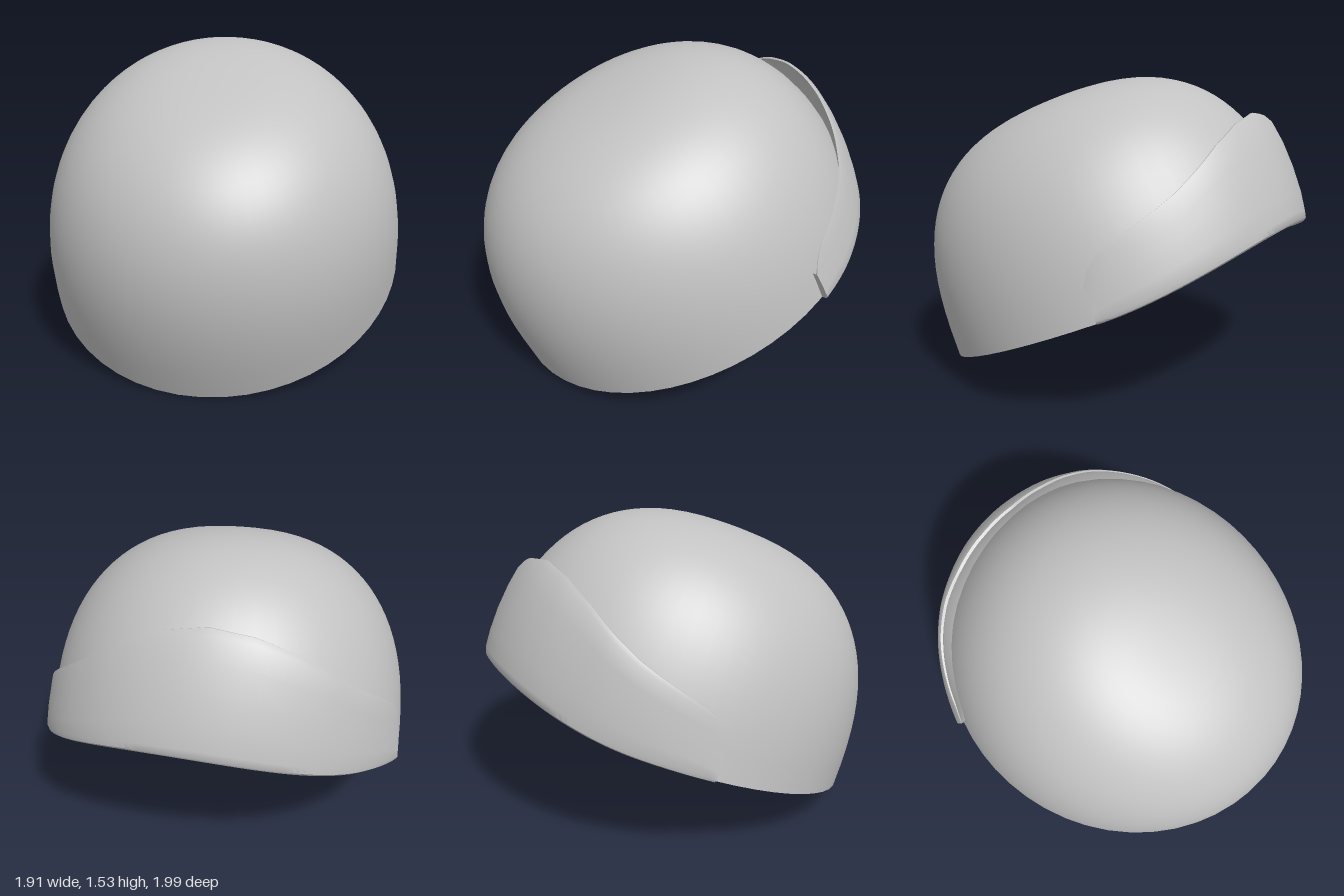
import * as THREE from 'three';
import { toCreasedNormals } from 'three/addons/utils/BufferGeometryUtils.js';

// Shell size in its own tilted frame: half width, height, half length
const A = 0.935, H = 1.09, C = 0.985;
const rad = THREE.MathUtils.degToRad;
const power = (phi) => 2.45 + 0.25 * Math.cos(phi) ** 2;
// The plan is a slightly skewed oval
const skew = (phi) => 1 + 0.03 * Math.sin(2 * phi);

// The rim arches up a little at the back, on the +x side
function rimLift(phi) {
  const d = Math.atan2(Math.sin(phi - rad(30)), Math.cos(phi - rad(30)));
  return Math.abs(d) < rad(60) ? 0.08 * Math.cos(d * 1.5) ** 2 : 0;
}

// Surface through a grid of points: f(column, row) gives [x, y, z]
function gridGeometry(cols, rows, f) {
  const pos = [], index = [];
  for (let j = 0; j <= rows; j++) {
    for (let i = 0; i <= cols; i++) pos.push(...f(i, j));
  }
  for (let j = 0; j < rows; j++) {
    for (let i = 0; i < cols; i++) {
      const a = j * (cols + 1) + i, b = a + 1, d = a + cols + 1, c = d + 1;
      index.push(a, d, c, a, c, b);
    }
  }
  const g = new THREE.BufferGeometry();
  g.setAttribute('position', new THREE.Float32BufferAttribute(pos, 3));
  g.setIndex(index);
  return toCreasedNormals(g, 0.7);
}

// Point on the dome: phi runs from the back towards +x, v from rim (0) to crown (1)
function domePoint(phi, v, inset) {
  const e = 2 / power(phi), s = skew(phi);
  const start = Math.asin((rimLift(phi) / H) ** (1 / e));
  const psi = start + (Math.PI / 2 - start) * v;
  const rho = Math.max(0, Math.cos(psi)) ** e;
  return [
    (A * s - inset) * rho * Math.sin(phi),
    (H - inset) * Math.sin(psi) ** e,
    -(C * s - inset) * rho * Math.cos(phi),
  ];
}

// Point at height h on the dome wall, pushed outwards by offset
function wallPoint(phi, h, offset) {
  const p = power(phi);
  const rho = skew(phi) * (1 - (Math.max(h, 0) / H) ** p) ** (1 / p);
  return [
    (A * rho + offset) * Math.sin(phi),
    h,
    -(C * rho + offset) * Math.cos(phi),
  ];
}

// Linear lookup in a list of [x, value]
function lookup(table, x) {
  for (let k = 1; k < table.length; k++) {
    const [x0, v0] = table[k - 1], [x1, v1] = table[k];
    if (x <= x1) return v0 + ((v1 - v0) * (x - x0)) / (x1 - x0);
  }
  return table[table.length - 1][1];
}

export function createModel() {
  const model = new THREE.Group();
  model.name = 'helmet';
  const grey = new THREE.MeshStandardMaterial({ color: 0xc2c2c2 });
  grey.name = 'light grey';

  const add = (name, geometry) => {
    const mesh = new THREE.Mesh(geometry, grey);
    mesh.name = name;
    model.add(mesh);
  };

  // Thin open dome: outside, lining and the rim joining them
  const SEG = 56, ROWS = 24, WALL = 0.012;
  const turn = (i) => (i / SEG) * Math.PI * 2;
  add('domeOutside', gridGeometry(SEG, ROWS, (i, j) => domePoint(turn(i), j / ROWS, 0)));
  add('domeLining', gridGeometry(SEG, ROWS, (i, j) => domePoint(turn(i), 1 - j / ROWS, WALL)));
  add('domeRim', gridGeometry(SEG, 1, (i, j) => domePoint(turn(i), 0, j ? 0 : WALL)));

  // Band wrapped round the back, turned towards +x, highest in its middle
  const MIDDLE = 19, HALF = 70;
  // Tables run over the fraction of the half-turn from the middle
  const topEdge = [[0, 0.64], [0.18, 0.61], [0.34, 0.545], [0.47, 0.47], [0.59, 0.405],
    [0.68, 0.37], [0.92, 0.285], [0.97, 0.23], [1, 0.17]];
  const flare = [[-1, 0.03], [-0.66, 0.075], [-0.47, 0.095], [-0.2, 0.1], [0, 0.09],
    [0.26, 0.07], [0.53, 0.045], [1, 0.025]];
  // Cross-section: height fraction, share of the top flare, fixed offset.
  // The upper lip stands free of the dome, leaving a narrow groove.
  const section = [[0, 0, -0.005], [-0.01, 0, 0.012], [0.01, 0, 0.026], [0.07, 0, 0.034],
    [0.25, 0.25, 0.026], [0.5, 0.5, 0.018], [0.75, 0.8, 0.006], [0.95, 1, 0],
    [1, 0.95, 0], [1, 0.8, 0], [0.94, 0.7, 0], [0.7, 0, -0.005]];
  const BAND = 70;
  add('backBand', gridGeometry(BAND + 2, section.length - 1, (i, j) => {
    const k = Math.min(Math.max(i - 1, 0), BAND);
    const u = -1 + (2 * k) / BAND;
    const phi = rad(MIDDLE + HALF * u);
    const [t, share, fixed] = section[j];
    // the first and last columns close the ends against the dome
    const closed = i === 0 || i === BAND + 2;
    const offset = closed ? -0.005 : share * lookup(flare, u) + fixed;
    const low = rimLift(phi), high = lookup(topEdge, Math.abs(u));
    return wallPoint(phi, low + t * (high - low), offset);
  }));

  // Tilt the whole shell: front edge down, +x side raised
  const up = new THREE.Vector3(-0.155, 1, 0.4).normalize();
  const forward = new THREE.Vector3(0, -0.4, 1).normalize();
  const side = new THREE.Vector3().crossVectors(up, forward);
  model.quaternion.setFromRotationMatrix(new THREE.Matrix4().makeBasis(side, up, forward));
  model.position.set(-0.005, 0.383, -0.059);

  const root = new THREE.Group();
  root.name = 'tiltedHelmet';
  root.add(model);
  return root;
}
